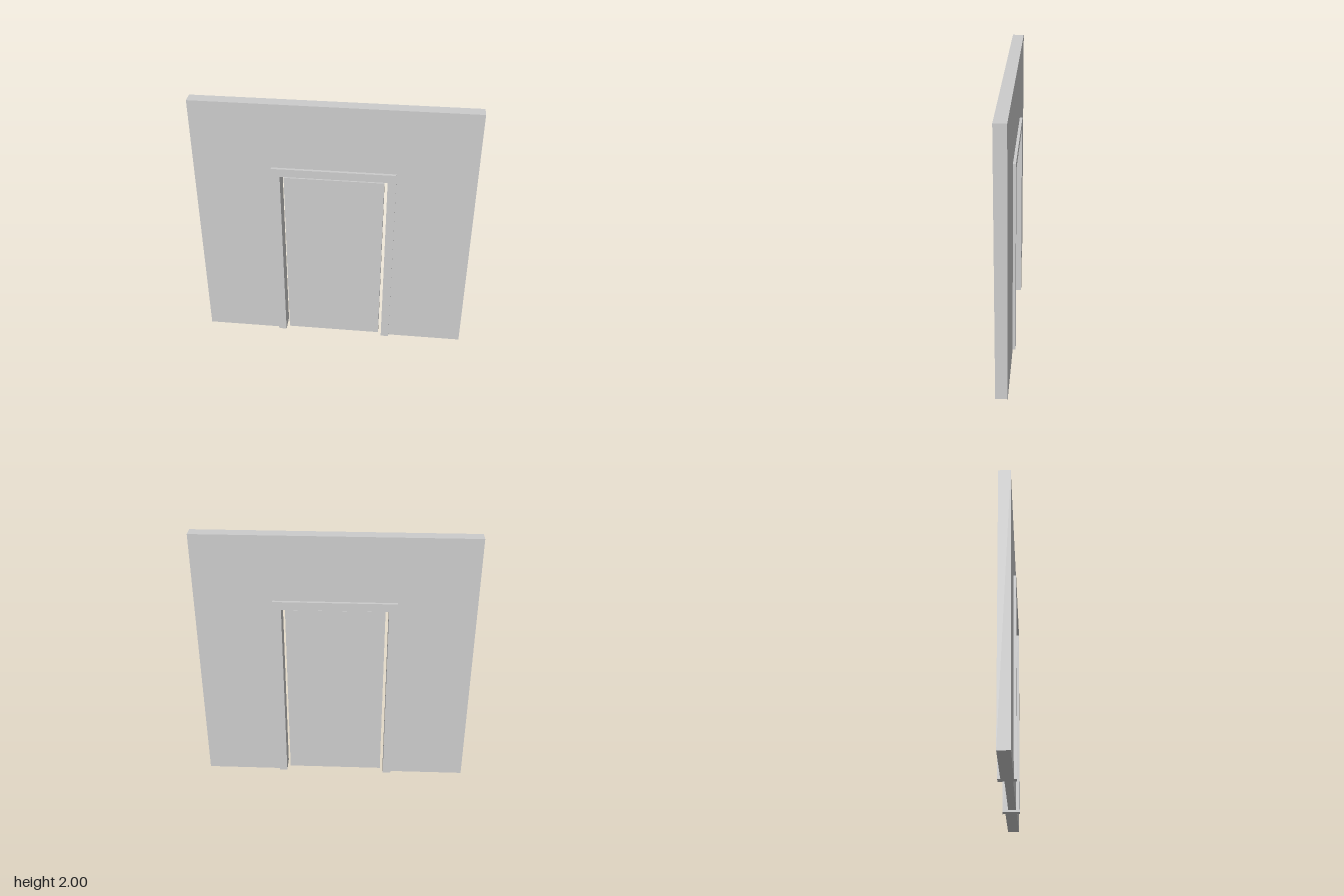
import * as THREE from 'three';

const material = new THREE.MeshStandardMaterial({ color: 0xcccccc, flatShading: true });

// Upside-down U outline: a panel with a doorway open at the floor, centred on z = 0
function archway(name, halfOuter, topOuter, halfInner, topInner, depth) {
  const shape = new THREE.Shape([
    [-halfOuter, 0], [-halfInner, 0], [-halfInner, topInner], [halfInner, topInner],
    [halfInner, 0], [halfOuter, 0], [halfOuter, topOuter], [-halfOuter, topOuter],
  ].map(([x, y]) => new THREE.Vector2(x, y)));
  const geometry = new THREE.ExtrudeGeometry(shape, { depth, bevelEnabled: false });
  geometry.translate(0, 0, -depth / 2);
  const mesh = new THREE.Mesh(geometry, material);
  mesh.name = name;
  return mesh;
}

export function createModel() {
  const model = new THREE.Group();
  model.name = 'doorway';

  // Wall, and the frame that lines its opening and stands proud on both sides
  model.add(archway('wall', 1, 2, 0.441, 1.508, 0.086));
  model.add(archway('doorFrame', 0.441, 1.508, 0.381, 1.447, 0.127));

  // Door leaf with a clearance gap all round, set nearer the front
  const bottom = 0.01, top = 1.423, back = -0.02, front = 0.037;
  const door = new THREE.Mesh(new THREE.BoxGeometry(0.715, top - bottom, front - back), material);
  door.position.set(0, (top + bottom) / 2, (front + back) / 2);
  door.name = 'door';
  model.add(door);

  return model;
}
